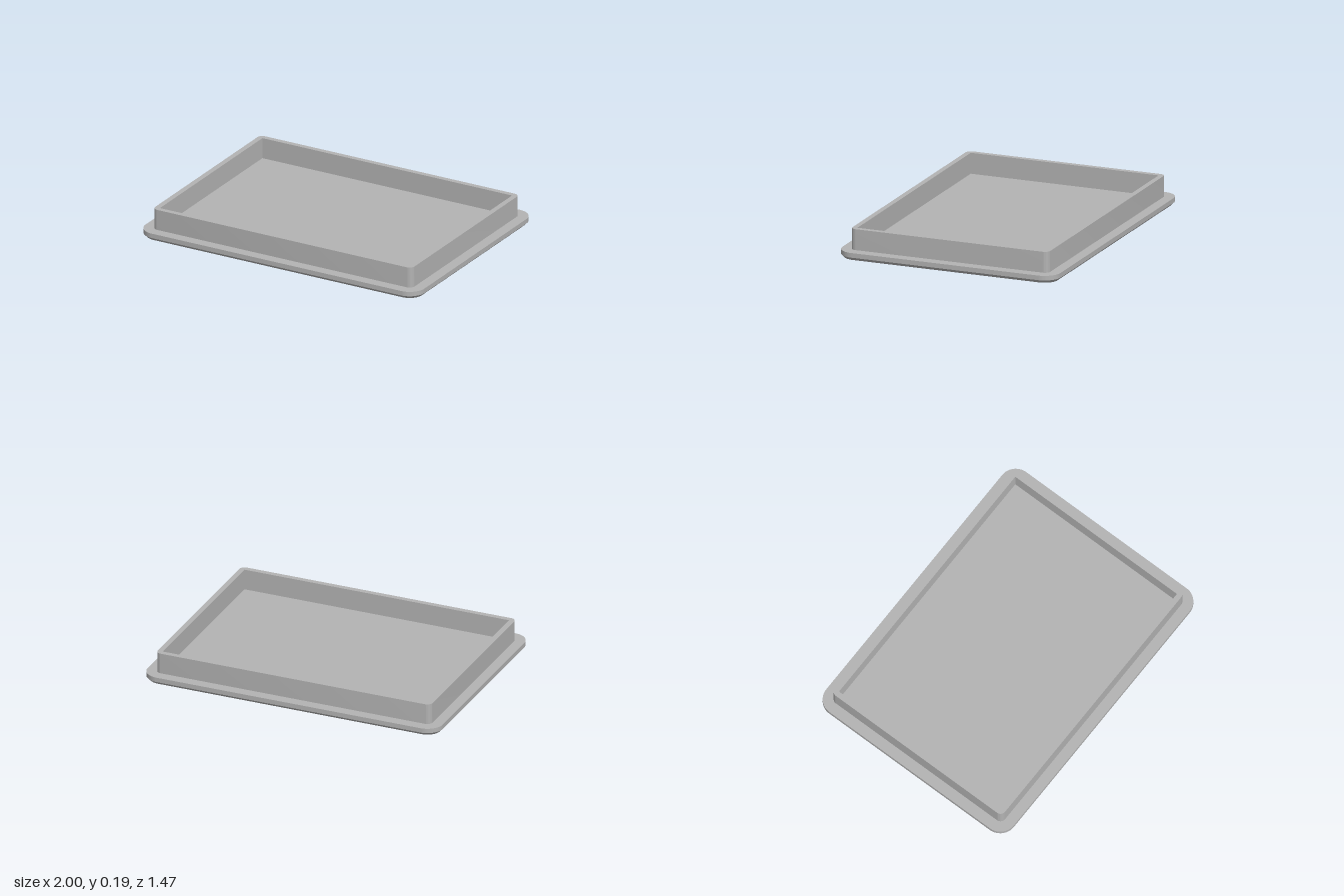
import * as THREE from 'three';
import { toCreasedNormals } from 'three/addons/utils/BufferGeometryUtils.js';

// Rounded rectangle with half sizes a, b and corner radius r
function roundedRect(a, b, r) {
  const s = new THREE.Shape();
  s.moveTo(a, -b + r);
  s.lineTo(a, b - r);
  s.absarc(a - r, b - r, r, 0, Math.PI / 2);
  s.absarc(-a + r, b - r, r, Math.PI / 2, Math.PI);
  s.absarc(-a + r, -b + r, r, Math.PI, Math.PI * 1.5);
  s.absarc(a - r, -b + r, r, Math.PI * 1.5, Math.PI * 2);
  return s;
}

// Extrudes a shape upward, starting at y = 0
function extrudeUp(shape, depth, steps = 1) {
  const g = new THREE.ExtrudeGeometry(shape, { depth, steps, bevelEnabled: false, curveSegments: 12 });
  return g.rotateX(-Math.PI / 2);
}

export function createModel() {
  const group = new THREE.Group();
  const grey = new THREE.MeshStandardMaterial({ color: 0xb3b3b3 });
  grey.name = 'light grey';

  const add = (name, geometry, y) => {
    const mesh = new THREE.Mesh(toCreasedNormals(geometry, Math.PI / 6), grey);
    mesh.name = name;
    mesh.position.y = y;
    group.add(mesh);
  };

  // Base plate: the lowest ring is drawn inward to chamfer the bottom edge
  const a = 1, b = 0.735, r = 0.107, height = 0.05, chamfer = 0.02;
  const plate = extrudeUp(roundedRect(a, b, r), height, 2);
  const p = plate.attributes.position;
  for (let i = 0; i < p.count; i++) {
    const x = p.getX(i), y = p.getY(i), z = p.getZ(i);
    if (y < 0.01) {
      const cx = THREE.MathUtils.clamp(x, r - a, a - r);
      const cz = THREE.MathUtils.clamp(z, r - b, b - r);
      const k = (r - chamfer) / r;
      p.setXYZ(i, cx + (x - cx) * k, 0, cz + (z - cz) * k);
    } else if (y < height - 0.01) {
      p.setY(i, chamfer);
    }
  }
  add('basePlate', plate, 0);

  // Raised rim: rounded outside corners, square inside corners
  const rim = roundedRect(0.93, 0.667, 0.036);
  const ix = 0.895, iz = 0.633;
  rim.holes.push(new THREE.Path([[-ix, -iz], [-ix, iz], [ix, iz], [ix, -iz]]
    .map(([x, y]) => new THREE.Vector2(x, y))));
  add('rimWall', extrudeUp(rim, 0.145), 0.04);

  return group;
}
